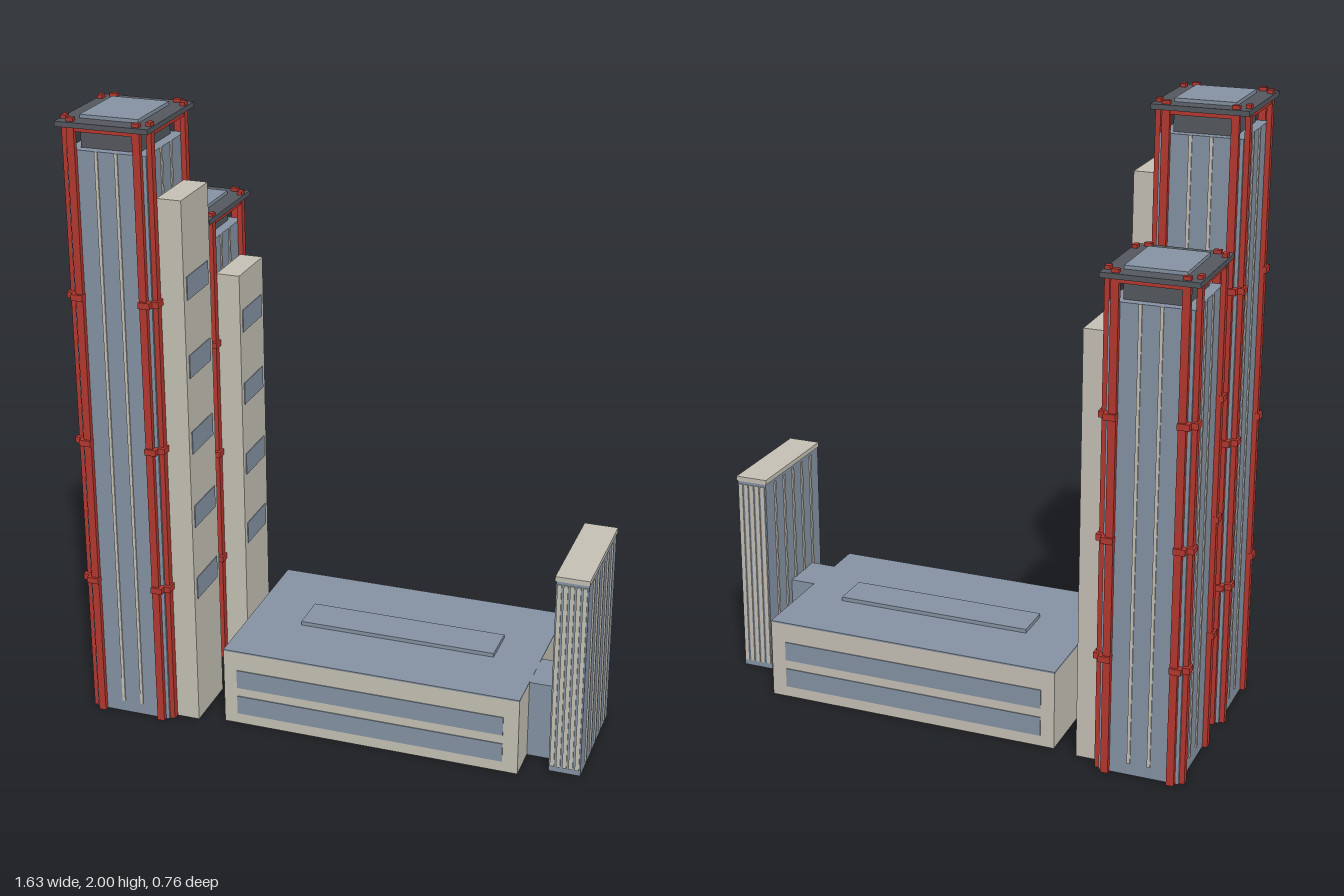
import * as THREE from 'three';

const mat = (name, color, side = THREE.FrontSide) =>
  Object.assign(new THREE.MeshStandardMaterial({ color, side }), { name });

export function createModel() {
  const glass = mat('blueGlass', 0x8693a4, THREE.DoubleSide);
  const stone = mat('paleStone', 0xc5c1b5, THREE.DoubleSide);
  const steel = mat('redSteel', 0xb5382f);
  const dark = mat('darkRoof', 0x55585f);

  // box given by its centre in x and z and its bottom and top in y
  function box(parent, name, material, x, z, y0, y1, w, d) {
    const mesh = new THREE.Mesh(new THREE.BoxGeometry(w, y1 - y0, d), material);
    mesh.name = name;
    mesh.position.set(x, (y0 + y1) / 2, z);
    parent.add(mesh);
    return mesh;
  }
  // the same box with an open underside
  function shell(...args) {
    const mesh = box(...args);
    const index = Array.from(mesh.geometry.index.array);
    index.splice(18, 6);
    mesh.geometry.setIndex(index);
    mesh.geometry.clearGroups();
    return mesh;
  }
  function group(parent, name, x = 0, z = 0) {
    const g = new THREE.Group();
    g.name = name;
    g.position.set(x, 0, z);
    parent.add(g);
    return g;
  }

  const model = new THREE.Group();
  model.name = 'buildingComplex';

  // square tower with paired steel columns at each corner and a stone service core
  function tower(name, x, z, H, coreTop, windows, braceStep) {
    const t = group(model, name, x, z);
    shell(t, 'glassShaft', glass, 0, 0, 0, H - 0.1, 0.256, 0.284);
    box(t, 'recessedTopFloor', dark, 0, 0, H - 0.1, H - 0.027, 0.188, 0.225);
    box(t, 'roofSlab', dark, 0, 0, H - 0.027, H - 0.011, 0.298, 0.34);
    box(t, 'roofLight', glass, 0, 0, H - 0.011, H, 0.188, 0.225);

    for (const s of [-1, 1]) {
      // thin mullions on all four faces
      for (const m of [-1, 1]) {
        box(t, 'mullion', stone, m * 0.032, s * 0.143, 0.04, H - 0.1, 0.01, 0.006);
        box(t, 'mullion', stone, s * 0.129, m * 0.035, 0.04, H - 0.1, 0.006, 0.01);
      }
      // beams under the roof slab
      box(t, 'topBeam', steel, 0, s * 0.15, H - 0.041, H - 0.029, 0.21, 0.012);
      box(t, 'topBeam', steel, s * 0.136, 0, H - 0.041, H - 0.029, 0.012, 0.25);

      for (const c of [-1, 1]) {
        box(t, 'column', steel, c * 0.105, s * 0.151, 0, H, 0.024, 0.016);
        box(t, 'column', steel, s * 0.136, c * 0.123, 0, H, 0.016, 0.024);
        // braces tying each pair of columns together
        for (let k = 1; k <= 3; k++) {
          const y = k * braceStep;
          box(t, 'columnBrace', steel, c * 0.111, s * 0.154, y - 0.01, y + 0.01, 0.038, 0.026);
          box(t, 'columnBrace', steel, s * 0.138, c * 0.129, y - 0.01, y + 0.01, 0.026, 0.038);
        }
      }
    }

    // service core with window panels
    shell(t, 'serviceCore', stone, 0.181, 0.01, 0, coreTop, 0.078, 0.203);
    for (let k = 0; k < windows; k++) {
      const y = 0.4725 + k * 0.2533;
      box(t, 'coreWindow', glass, 0.2205, 0.01, y - 0.0375, y + 0.0375, 0.004, 0.162);
    }
  }
  tower('tallTower', -0.669, 0.2105, 2, 1.766, 5, 0.481);
  tower('shortTower', -0.664, -0.2115, 1.6, 1.393, 4, 0.386);

  // low hall with window bands and a raised roof light
  const hall = group(model, 'hall', 0.1275, 0.007);
  shell(hall, 'hallWalls', stone, 0, 0, 0, 0.26, 0.985, 0.588);
  box(hall, 'hallRoof', glass, 0, 0, 0.26, 0.265, 0.985, 0.588);
  box(hall, 'hallRoofLight', glass, 0.017, -0.004, 0.265, 0.278, 0.655, 0.13);
  for (const s of [-1, 1])
    for (const y of [0.069, 0.164])
      box(hall, 'windowBand', glass, -0.0025, s * 0.295, y - 0.032, y + 0.032, 0.89, 0.004);

  // link between hall and slab block
  shell(model, 'link', glass, 0.6625, 0.104, 0, 0.264, 0.085, 0.156);

  // thin slab block with fins and a stone cap
  const slab = group(model, 'slabBlock', 0.758, 0.059);
  shell(slab, 'slabGlass', glass, 0, 0, 0, 0.67, 0.102, 0.38);
  box(slab, 'slabCap', stone, 0, 0, 0.67, 0.686, 0.108, 0.386);
  for (const s of [-1, 1])
    for (let k = -2; k <= 2; k++) {
      box(slab, 'sideFin', stone, s * 0.052, k * 0.064, 0.02, 0.66, 0.008, 0.009);
      box(slab, 'endFin', stone, k * 0.02, s * 0.191, 0.02, 0.66, 0.013, 0.006);
    }

  return model;
}
